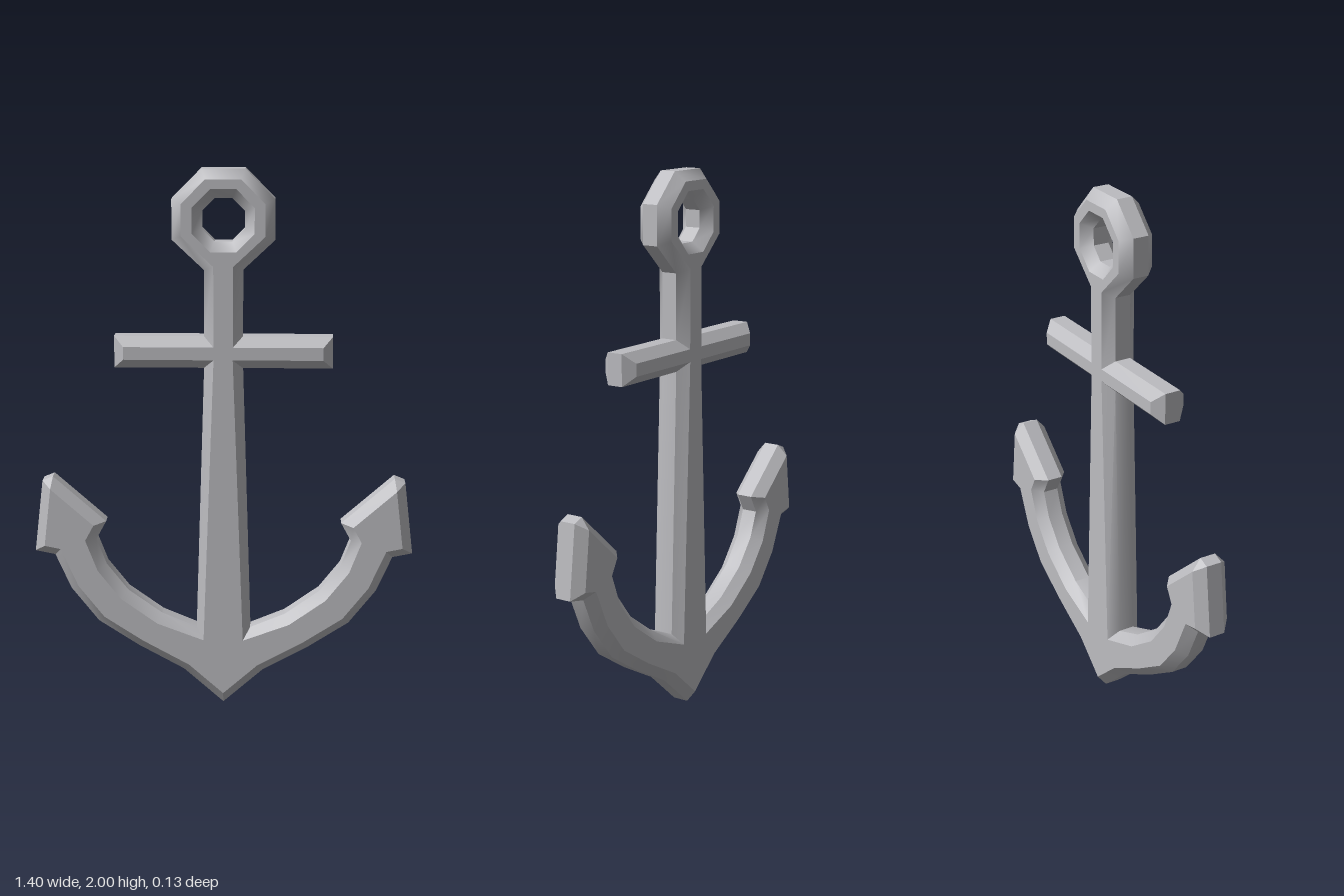
import * as THREE from 'three';
import { toCreasedNormals } from 'three/addons/utils/BufferGeometryUtils.js';

const BEVEL = 0.035;      // chamfer width, cut inward from the outline
const HALF_WALL = 0.03;   // half depth of the straight side wall
const HALF_DEPTH = 0.067; // half depth of the whole anchor

export function createModel() {
  const group = new THREE.Group();
  group.name = 'anchor';
  const iron = new THREE.MeshStandardMaterial({ color: 0xbcbcc0 });
  iron.name = 'grey iron';

  // One half of the silhouette, from the crown up to the ring
  const arm = [
    [0.148, 0.13], [0.317, 0.222], [0.466, 0.318], [0.567, 0.445], [0.625, 0.575],
  ];
  const fluke = [[0.698, 0.59], [0.667, 0.858], [0.628, 0.874], [0.434, 0.704], [0.471, 0.636]];
  const armInside = [[0.434, 0.54], [0.355, 0.44], [0.228, 0.35], [0.1, 0.297]];
  const stock = [[0.07, 1.284], [0.395, 1.284], [0.395, 1.4], [0.07, 1.4]];
  const ring = [[0.07, 1.64], [0.185, 1.748], [0.185, 1.892], [0.078, 2]];
  const half = [...arm, ...fluke, ...armInside, ...stock, ...ring];

  // Mirror it into a closed outline
  const mirrored = half.map(([x, y]) => [-x, y]).reverse();
  const outline = [[0, 0], ...half, ...mirrored].map(([x, y]) => new THREE.Vector2(x, y));
  const shape = new THREE.Shape(outline);

  // Octagonal eye of the ring
  const eye = [];
  for (let i = 0; i < 8; i++) {
    const a = -(i + 0.5) * Math.PI / 4;
    eye.push(new THREE.Vector2(0.083 * Math.cos(a), 1.819 + 0.083 * Math.sin(a)));
  }
  shape.holes.push(new THREE.Path(eye));

  // Chamfered body: shank, stock, arms, flukes and ring in one casting
  const geometry = new THREE.ExtrudeGeometry(shape, {
    depth: 2 * HALF_WALL,
    bevelEnabled: true,
    bevelThickness: HALF_DEPTH - HALF_WALL,
    bevelSize: BEVEL,
    bevelOffset: -BEVEL,
    bevelSegments: 1,
  });
  geometry.translate(0, 0, -HALF_WALL);
  geometry.clearGroups();

  const body = new THREE.Mesh(toCreasedNormals(geometry, 0.65), iron);
  body.name = 'anchorBody';
  group.add(body);
  return group;
}
